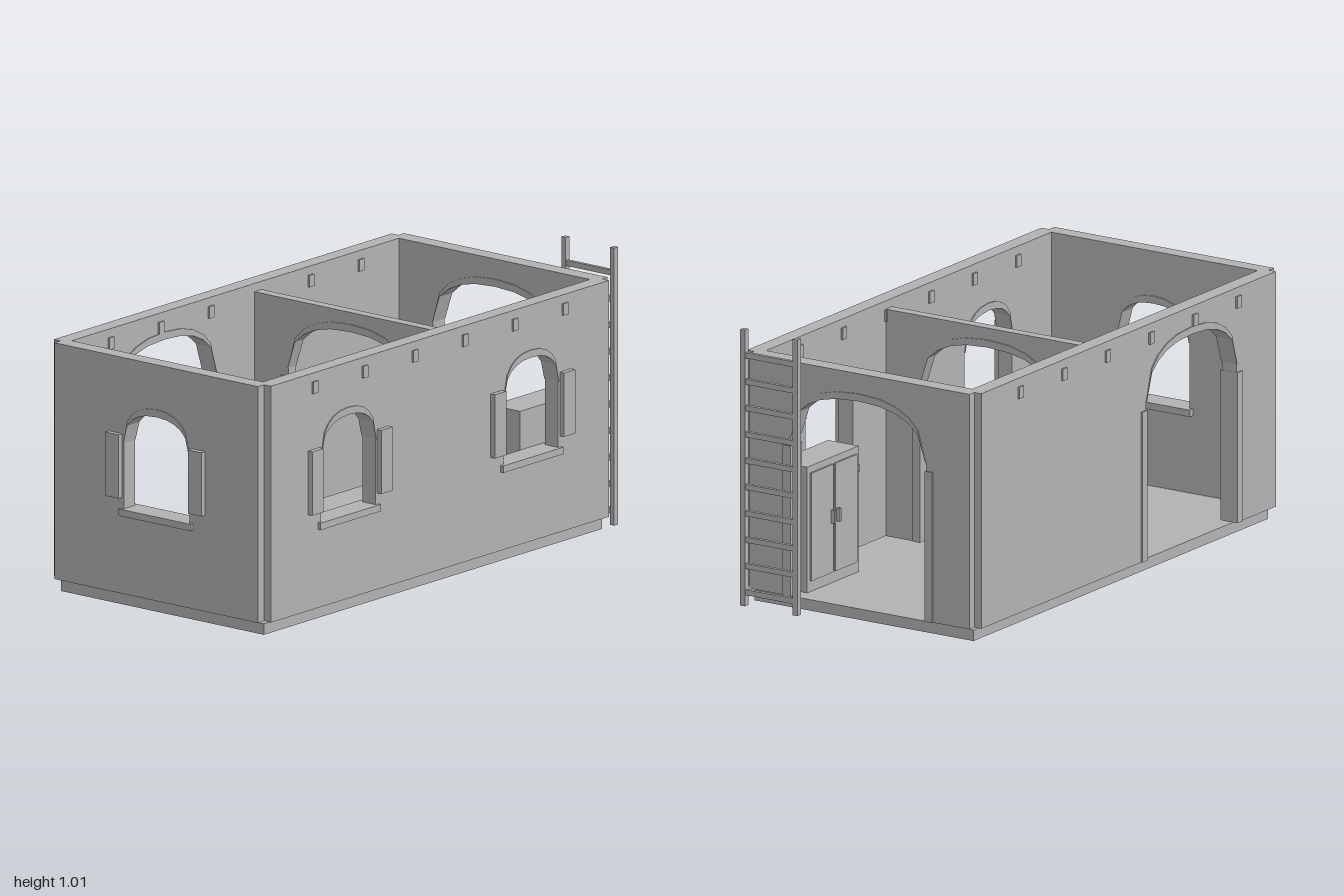
import * as THREE from 'three';

const stone = new THREE.MeshStandardMaterial({ color: 0xb2b2b2 });
stone.name = 'plain grey';

const BASE = 0.05, TOP = 0.91;
const WINDOW = { half: 0.15, bottom: 0.36, spring: 0.6, rise: 0.12 };
const DOOR = { half: 0.285, bottom: BASE, spring: 0.63, rise: 0.18 };
const ARCH_ANGLES = [0, 30, 45, 60, 75, 90, 105, 120, 135, 150, 180];

function add(parent, name, geometry) {
  const mesh = new THREE.Mesh(geometry, stone);
  mesh.name = name;
  parent.add(mesh);
  return mesh;
}

// box given by its limits on each axis
function box(parent, name, x0, x1, y0, y1, z0, z1) {
  const mesh = add(parent, name, new THREE.BoxGeometry(x1 - x0, y1 - y0, z1 - z0));
  mesh.position.set((x0 + x1) / 2, (y0 + y1) / 2, (z0 + z1) / 2);
  return mesh;
}

function extrude(parent, name, shape, z0, z1) {
  const geometry = new THREE.ExtrudeGeometry(shape, { depth: z1 - z0, bevelEnabled: false });
  geometry.translate(0, 0, z0);
  return add(parent, name, geometry);
}

// slightly squared arch, running from the right springing to the left one
function arch(center, o, extra = 0) {
  return ARCH_ANGLES.map((deg) => {
    const t = THREE.MathUtils.degToRad(deg);
    const c = Math.cos(t), s = Math.max(0, Math.sin(t));
    return new THREE.Vector2(
      center + o.half * Math.sign(c) * Math.pow(Math.abs(c), 0.85),
      o.spring + (o.rise + extra) * Math.pow(s, 0.85));
  });
}

// wall panel in its own frame: u along the wall, y up, w outwards
function wall(parent, { name, turn = 0, u0, u1, w0, w1, top = TOP, windows = [], doors = [], shutters = true, beams = [] }) {
  const g = new THREE.Group();
  g.name = name;
  g.rotation.y = turn;
  parent.add(g);

  const outline = [new THREE.Vector2(u0, BASE)];
  for (const c of doors) {
    outline.push(new THREE.Vector2(c - DOOR.half, BASE), ...arch(c, DOOR).reverse(),
      new THREE.Vector2(c + DOOR.half, BASE));
  }
  outline.push(new THREE.Vector2(u1, BASE), new THREE.Vector2(u1, top), new THREE.Vector2(u0, top));
  const shape = new THREE.Shape(outline);
  for (const c of windows) {
    shape.holes.push(new THREE.Path([
      new THREE.Vector2(c - WINDOW.half, WINDOW.bottom),
      new THREE.Vector2(c + WINDOW.half, WINDOW.bottom), ...arch(c, WINDOW)]));
  }
  extrude(g, name + 'Panel', shape, w0, w1);

  // crescent bands over the openings
  const band = (c, o) => extrude(g, 'archBand',
    new THREE.Shape([...arch(c, o, 0.027), ...arch(c, o).reverse().slice(1, -1)]), w0 - 0.004, w1 + 0.004);

  for (const c of windows) {
    band(c, WINDOW);
    box(g, 'windowSill', c - 0.166, c + 0.166, 0.335, 0.36, w0 - 0.02, w1 + 0.012);
    if (shutters) {
      for (const s of [-1, 1]) {
        const m = c + s * 0.19;
        box(g, 'shutter', m - 0.031, m + 0.031, 0.4, 0.632, w1, w1 + 0.02);
      }
    }
  }
  for (const c of doors) {
    band(c, DOOR);
    for (const s of [-1, 1]) {
      const m = c + s * 0.3;
      box(g, 'doorJamb', m - 0.016, m + 0.016, BASE, 0.6, w0 - 0.006, w1 + 0.006);
    }
  }
  // beam ends showing on both faces
  for (const u of beams) box(g, 'beamEnd', u - 0.014, u + 0.014, 0.836, 0.879, w0 - 0.007, w1 + 0.007);
  return g;
}

function table(parent) {
  const g = new THREE.Group();
  g.name = 'table';
  box(g, 'tableTop', -0.845, -0.46, 0.248, 0.28, 0, 0.203);
  for (const x of [-0.82, -0.485])
    for (const z of [0.028, 0.178])
      box(g, 'tableLeg', x - 0.012, x + 0.012, 0.04, 0.25, z - 0.012, z + 0.012);
  parent.add(g);
}

function chair(parent) {
  const g = new THREE.Group();
  g.name = 'chair';
  box(g, 'chairSeat', -0.72, -0.59, 0.175, 0.198, 0.25, 0.38);
  box(g, 'chairBack', -0.72, -0.59, 0.198, 0.335, 0.365, 0.38);
  for (const x of [-0.71, -0.6])
    for (const z of [0.26, 0.37])
      box(g, 'chairLeg', x - 0.008, x + 0.008, 0.04, 0.177, z - 0.008, z + 0.008);
  parent.add(g);
}

function cabinet(parent) {
  const g = new THREE.Group();
  g.name = 'cabinet';
  box(g, 'cabinetBody', 0.525, 0.85, 0.04, 0.5, 0.275, 0.405);
  for (const s of [-1, 1]) {
    const m = 0.6875 + s * 0.076;
    box(g, 'cabinetDoor', m - 0.07, m + 0.07, 0.08, 0.475, 0.268, 0.276);
    const h = 0.6875 + s * 0.017;
    box(g, 'doorHandle', h - 0.005, h + 0.005, 0.262, 0.31, 0.254, 0.269);
  }
  parent.add(g);
}

function ladder(parent) {
  const g = new THREE.Group();
  g.name = 'ladder';
  for (const z of [0.228, 0.45]) box(g, 'ladderRail', 0.976, 0.998, 0, 1.01, z - 0.01, z + 0.01);
  for (let i = 0; i < 10; i++) {
    const y = 0.05 + i * 0.0963;
    box(g, 'ladderRung', 0.98, 0.994, y - 0.01, y + 0.01, 0.23, 0.448);
  }
  parent.add(g);
}

export function createModel() {
  const model = new THREE.Group();
  model.name = 'roofless house';

  box(model, 'floorSlab', -0.945, 0.915, 0, 0.04, -0.472, 0.455);

  // outer walls
  const beams = [-0.705, -0.43, -0.155, 0.12, 0.395, 0.67];
  wall(model, { name: 'frontWall', u0: -0.945, u1: 0.915, w0: 0.427, w1: 0.487, windows: [-0.52, 0.485], beams });
  wall(model, {
    name: 'backWall', turn: Math.PI, u0: -0.915, u1: 0.945, w0: 0.445, w1: 0.505,
    doors: [0.41], beams: beams.map((x) => -x),
  });
  wall(model, { name: 'rightWall', turn: Math.PI / 2, u0: -0.455, u1: 0.475, w0: 0.882, w1: 0.945, doors: [0.005] });
  wall(model, { name: 'leftWall', turn: -Math.PI / 2, u0: -0.475, u1: 0.455, w0: 0.918, w1: 0.978, windows: [-0.007] });

  // inner dividing wall
  wall(model, {
    name: 'partition', turn: Math.PI / 2, u0: -0.43, u1: 0.447, w0: 0.087, w1: 0.127, top: 0.88, doors: [0.005],
  });

  table(model);
  chair(model);
  cabinet(model);
  ladder(model);
  return model;
}
